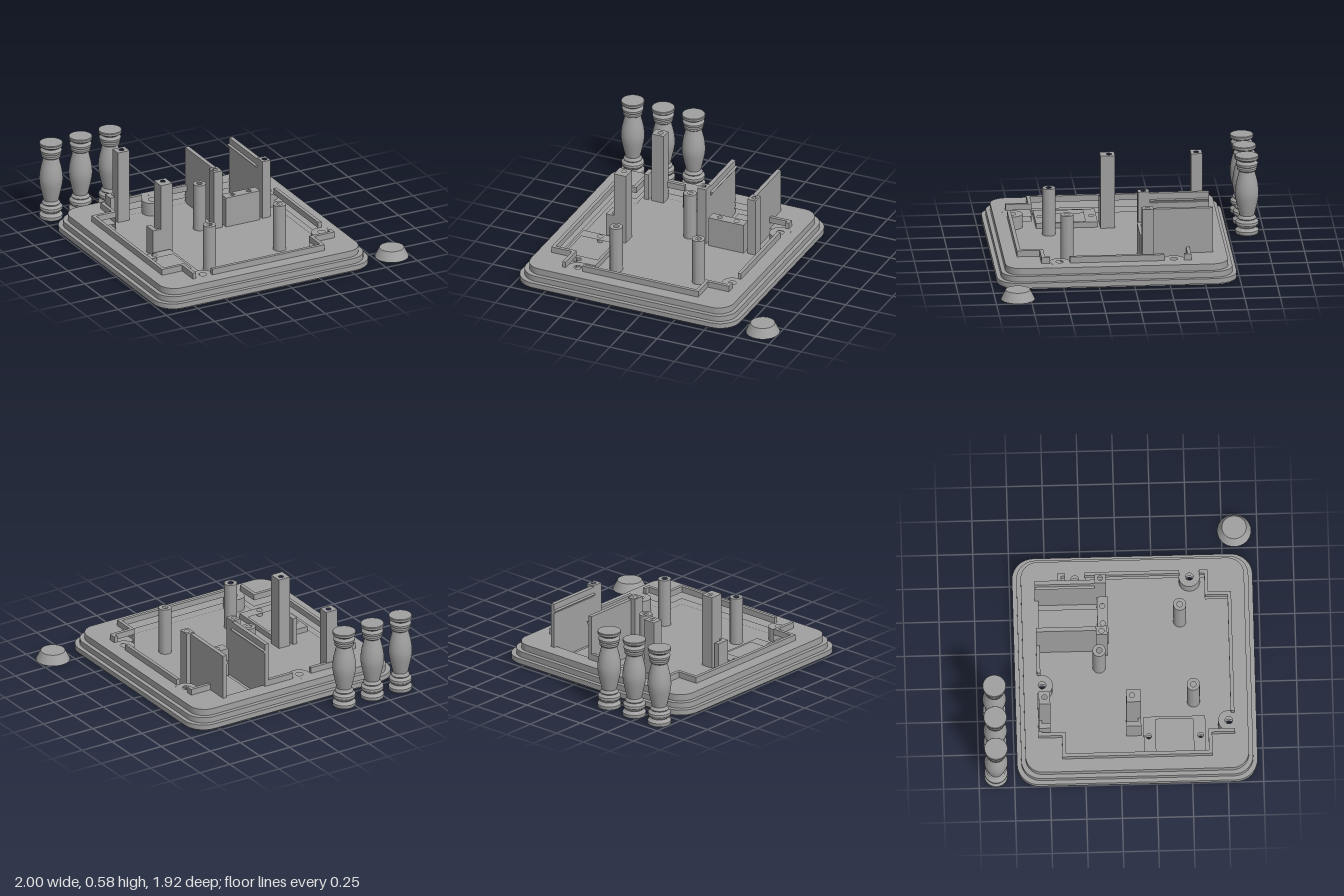
import * as THREE from 'three';
import { toCreasedNormals } from 'three/addons/utils/BufferGeometryUtils.js';

const FLOOR = 0.04, DECK = 0.136, LIP = 0.18;
const grey = new THREE.MeshStandardMaterial({ color: 0xa0a0a0 });
grey.name = 'plain grey';

export function createModel() {
  const model = new THREE.Group();
  model.name = 'enclosureParts';

  const add = (name, geometry, x = 0, y = 0, z = 0) => {
    const mesh = new THREE.Mesh(geometry, grey);
    mesh.name = name;
    mesh.position.set(x, y, z);
    model.add(mesh);
    return mesh;
  };
  // Box given by its limits on each axis
  const box = (name, x0, x1, y0, y1, z0, z1) =>
    add(name, new THREE.BoxGeometry(x1 - x0, y1 - y0, z1 - z0), (x0 + x1) / 2, (y0 + y1) / 2, (z0 + z1) / 2);

  // Outlines are lists of [x, z] points
  const arc = (cx, cz, r, a0, a1, n = 16) => Array.from({ length: n + 1 }, (_, i) => {
    const a = a0 + (a1 - a0) * i / n;
    return [cx + r * Math.cos(a), cz + r * Math.sin(a)];
  });
  const circle = (cx, cz, r) => arc(cx, cz, r, 0, Math.PI * 2, 28).slice(0, -1);
  const rect = (x0, x1, z0, z1) => [[x0, z0], [x1, z0], [x1, z1], [x0, z1]];
  const roundRect = (x0, x1, z0, z1, r) => [
    ...arc(x1 - r, z1 - r, r, 0, Math.PI / 2, 10),
    ...arc(x0 + r, z1 - r, r, Math.PI / 2, Math.PI, 10),
    ...arc(x0 + r, z0 + r, r, Math.PI, Math.PI * 1.5, 10),
    ...arc(x1 - r, z0 + r, r, Math.PI * 1.5, Math.PI * 2, 10),
  ];
  const flip = (points) => points.map(([x, z]) => new THREE.Vector2(x, -z));
  // Vertical prism with holes
  const prism = (name, outline, holes, y0, y1) => {
    const shape = new THREE.Shape(flip(outline));
    shape.holes = holes.map((h) => new THREE.Path(flip(h)));
    const g = new THREE.ExtrudeGeometry(shape, { depth: y1 - y0, bevelEnabled: false });
    g.rotateX(-Math.PI / 2);
    return add(name, toCreasedNormals(g, 0.5), 0, y0, 0);
  };

  // Stepped base: pierced floor layers below, open frame layers above
  const bosses = [[-0.29, -0.54], [0.495, -0.29], [0.495, 0.515], [-0.585, 0.765]];
  const smallHoles = [[-0.67, 0.2], [-0.67, 0.565]];
  const h = Math.PI / 2, t = 0.134;
  const cavity = [
    [-0.66, -0.55], ...arc(-0.29, -0.54, 0.075, -Math.PI + t, -t), [0.34, -0.55],
    [0.34, -0.385], [0.505, -0.385],
    ...arc(0.495, -0.29, 0.075, -h + t, h - t), ...arc(0.495, 0.515, 0.075, -h + t, h - t),
    [0.505, 0.62], [0.34, 0.62], [0.34, 0.78], ...arc(-0.585, 0.765, 0.075, 0.2, Math.PI - 0.2),
    [-0.66, 0.78], [-0.66, 0.62], [-0.82, 0.62], [-0.82, -0.385], [-0.66, -0.385],
  ];
  const floorHoles = [
    ...bosses.map(([x, z]) => circle(x, z, 0.04)),
    ...smallHoles.map(([x, z]) => circle(x, z, 0.018)),
  ];
  const layer = (name, inset, holes, y0, y1) => prism(name,
    roundRect(-1 + inset, 0.69 - inset, -0.73 + inset, 0.96 - inset, 0.155 - inset * 0.6), holes, y0, y1);
  layer('baseFoot', 0.01, floorHoles, 0, 0.01);
  layer('baseFloor', 0, floorHoles, 0.01, FLOOR);
  layer('baseLowerStep', 0, [cavity], FLOOR, 0.047);
  layer('baseMiddleStep', 0.03, [cavity], 0.047, 0.088);
  layer('baseTopStep', 0.06, [cavity], 0.088, DECK);

  // Screw bosses in the rim
  for (const [x, z] of bosses) {
    prism('screwBoss', circle(x, z, 0.075), [circle(x, z, 0.027)], FLOOR, DECK);
  }

  // Locating lip, broken at the bosses: x0, x1, z0, z1
  const lipRuns = [
    [-0.685, -0.365, -0.575, -0.55], [-0.215, -0.01, -0.575, -0.55],
    [0.34, 0.365, -0.575, -0.385], [0.34, 0.53, -0.41, -0.385],
    [0.505, 0.53, -0.41, -0.36], [0.505, 0.53, -0.22, 0.445],
    [0.505, 0.53, 0.585, 0.645], [0.34, 0.53, 0.62, 0.645],
    [0.34, 0.365, 0.62, 0.805], [-0.53, 0.365, 0.78, 0.805],
    [-0.685, -0.66, 0.62, 0.805], [-0.845, -0.66, 0.62, 0.645],
    [-0.845, -0.82, -0.41, 0.645], [-0.845, -0.66, -0.41, -0.385],
    [-0.685, -0.66, -0.575, -0.385],
  ];
  for (const [x0, x1, z0, z1] of lipRuns) box('rimLip', x0, x1, DECK, LIP, z0, z1);

  // Round standoffs
  for (const [x, z] of [[-0.13, -0.135], [-0.4, 0.52], [0.2, 0.44]]) {
    prism('standoff', circle(x, z, 0.046), [circle(x, z, 0.02)], FLOOR, 0.385);
  }

  // Tall square posts, each with a slotted low bracket
  for (const [z0, z1, endBack] of [[-0.57, -0.49, true], [0.045, 0.148, false]]) {
    const hz = endBack ? -0.53 : 0.085;
    prism('tallPost', rect(-0.59, -0.497, z0, z1), [circle(-0.54, hz, 0.018)], FLOOR, 0.575);
    box('slotWall', -0.65, -0.615, FLOOR, 0.24, z0, z1);
    const e = endBack ? z0 : z1 - 0.022;
    box('slotEnd', -0.615, -0.59, FLOOR, 0.24, e, e + 0.022);
  }

  // Low frame with a rectangular pocket and two screw holes
  prism('pocketFrame', rect(-0.815, -0.525, 0.165, 0.6),
    [rect(-0.795, -0.545, 0.25, 0.515), ...smallHoles.map(([x, z]) => circle(x, z, 0.02))], FLOOR, 0.08);

  // Bay at the back: mirrored side plates, columns and snap ridges
  const mid = 0.18;
  for (const s of [-1, 1]) {
    const span = (a, b) => (s < 0 ? [mid - b, mid - a] : [mid + a, mid + b]);
    const [p0, p1] = span(0.16, 0.19);
    box('bayPlate', p0, p1, FLOOR, 0.465, -0.575, -0.15);
    const [c0, c1] = span(0.16, 0.225);
    prism('bayColumn', rect(c0, c1, -0.155, -0.075), [circle(mid + s * 0.197, -0.115, 0.018)], FLOOR, 0.475);
    const ridge = new THREE.Shape([
      new THREE.Vector2(s * 0.16, 0.39), new THREE.Vector2(s * 0.143, 0.415), new THREE.Vector2(s * 0.16, 0.42),
    ]);
    add('snapRidge', new THREE.ExtrudeGeometry(ridge, { depth: 0.42, bevelEnabled: false }), mid, 0, -0.575);
  }
  prism('bayStop', rect(0.045, 0.315, -0.14, -0.065),
    [circle(0.115, -0.103, 0.018), circle(0.245, -0.103, 0.018)], FLOOR, 0.262);
  box('bayPad', 0.055, 0.3, FLOOR, 0.055, -0.55, -0.14);

  // Turned pillars
  const lower = [[0, 0], [0.08, 0], [0.083, 0.006], [0.083, 0.026], [0.068, 0.035], [0.06, 0.046],
    [0.072, 0.056], [0.081, 0.072], [0.08, 0.088], [0.068, 0.1], [0.062, 0.106], [0.066, 0.114], [0.06, 0.124]];
  const belly = new THREE.SplineCurve([[0.053, 0.135], [0.066, 0.19], [0.08, 0.26], [0.083, 0.31],
    [0.076, 0.37], [0.062, 0.43], [0.055, 0.46]].map((p) => new THREE.Vector2(...p))).getPoints(16);
  const upper = [[0.068, 0.47], [0.07, 0.486], [0.062, 0.494], [0.074, 0.5], [0.077, 0.518], [0.066, 0.53],
    [0.06, 0.537], [0.068, 0.546], [0.081, 0.552], [0.083, 0.57], [0.08, 0.575], [0, 0.575]];
  const toV = (list) => list.map((p) => new THREE.Vector2(...p));
  const pillar = toCreasedNormals(new THREE.LatheGeometry([...toV(lower), ...belly, ...toV(upper)], 36), 0.5);
  for (const x of [-0.915, -0.68, -0.445]) add('pillar', pillar, x, 0, -0.88);

  // Loose tapered foot
  add('taperedFoot', new THREE.CylinderGeometry(0.086, 0.12, 0.068, 40), 0.88, 0.034, 0.84);

  return model;
}
